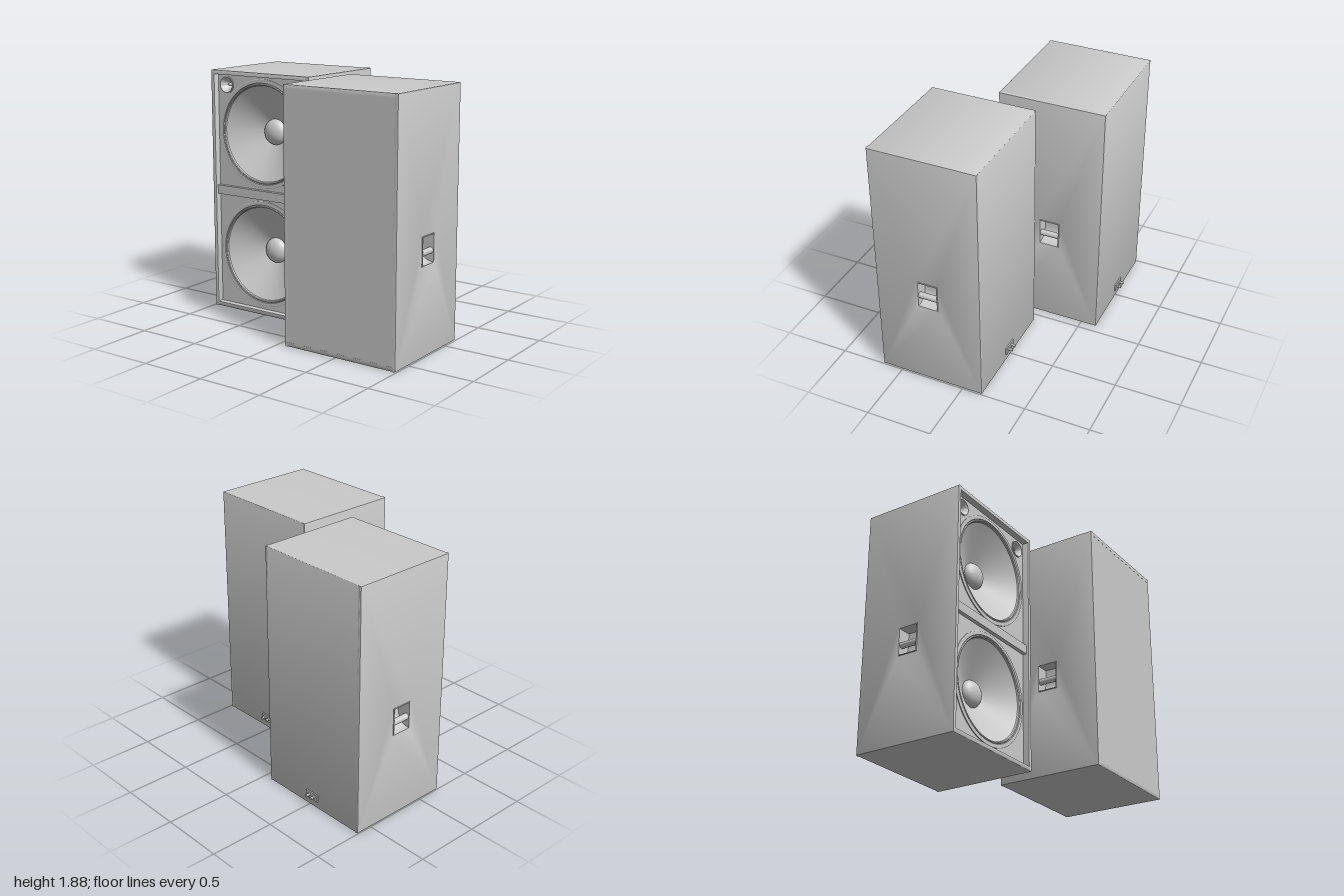
import * as THREE from 'three';
import { toCreasedNormals } from 'three/addons/utils/BufferGeometryUtils.js';

const W = 0.934, H = 1.88, D = 0.816;   // cabinet size
const WALL = 0.032, BEVEL = 0.008;      // panel thickness, edge rounding
const RECESS = 0.05;                    // baffle set-back
const HANDLE = { y: 0.765, w: 0.154, h: 0.21 };

const grey = new THREE.MeshStandardMaterial({ color: 0xcccccc });
const greyOpen = new THREE.MeshStandardMaterial({ color: 0xcccccc, side: THREE.DoubleSide });

function add(parent, name, geometry, x = 0, y = 0, z = 0, material = grey) {
  const mesh = new THREE.Mesh(geometry, material);
  mesh.name = name;
  mesh.position.set(x, y, z);
  parent.add(mesh);
  return mesh;
}

function rect(Type, x0, y0, x1, y1) {
  return new Type([[x0, y0], [x1, y0], [x1, y1], [x0, y1]].map(p => new THREE.Vector2(...p)));
}

function circle(x, y, r) {
  return new THREE.Path().absarc(x, y, r, 0, Math.PI * 2, true);
}

// Profile spun round the z axis, listed from rim to centre
function spin(points, segments = 64) {
  const g = new THREE.LatheGeometry(points.map(p => new THREE.Vector2(...p)), segments);
  return toCreasedNormals(g.rotateX(Math.PI / 2), 0.5);
}

// Shape drawn in (-z, y), extruded along x and centred
function extrudeX(shape, depth, bevel = 0) {
  const g = new THREE.ExtrudeGeometry(shape, {
    depth: depth - 2 * bevel, bevelEnabled: bevel > 0, bevelSize: bevel,
    bevelThickness: bevel, bevelSegments: 2, curveSegments: 12,
  });
  g.translate(0, 0, bevel - depth / 2).rotateY(Math.PI / 2);
  return toCreasedNormals(g, 0.6);
}

// Top, back and bottom in one C-shaped section with rounded outer corners
function shellSection() {
  const f = -D / 2, b = D / 2, r = BEVEL, s = new THREE.Shape();
  s.moveTo(f + r, 0).lineTo(b - r, 0).quadraticCurveTo(b, 0, b, r);
  s.lineTo(b, H - r).quadraticCurveTo(b, H, b - r, H);
  s.lineTo(f + r, H).quadraticCurveTo(f, H, f, H - r);
  s.lineTo(f, H - WALL).lineTo(b - WALL, H - WALL).lineTo(b - WALL, WALL);
  s.lineTo(f, WALL).lineTo(f, r).quadraticCurveTo(f, 0, f + r, 0);
  return s;
}

// Side panel with a handle cut-out
function sidePanel() {
  const e = BEVEL, hw = HANDLE.w / 2 + e, hh = HANDLE.h / 2 + e;
  const s = rect(THREE.Shape, -D / 2 + e, e, D / 2 - e, H - e);
  s.holes.push(rect(THREE.Path, -hw, HANDLE.y - hh, hw, HANDLE.y + hh));
  return extrudeX(s, WALL, e);
}

// Pocket handle facing +x, origin at the panel surface
function createHandle() {
  const g = new THREE.Group();
  g.name = 'handle';
  const h = HANDLE.h / 2, t = 0.004, out = 0.003, deep = -0.1;
  // Liner section: flat ceiling and back, floor swept outwards
  const s = new THREE.Shape();
  s.moveTo(out, h).lineTo(deep - t, h).lineTo(deep - t, -h).lineTo(out, -h);
  s.lineTo(out, -h + t).quadraticCurveTo(deep, -h + t, deep, 0);
  s.lineTo(deep, h - t).lineTo(out, h - t).closePath();
  const liner = new THREE.ExtrudeGeometry(s, { depth: HANDLE.w, bevelEnabled: false });
  add(g, 'handlePocket', toCreasedNormals(liner, 0.6), 0, 0, -HANDLE.w / 2);
  for (const side of [-1, 1]) {
    const cheek = new THREE.BoxGeometry(out - deep, HANDLE.h, t);
    add(g, 'handleCheek', cheek, (out + deep) / 2, 0, side * (HANDLE.w - t) / 2);
  }
  const grip = new THREE.CylinderGeometry(0.023, 0.023, HANDLE.w - t, 24).rotateX(Math.PI / 2);
  add(g, 'handleGrip', grip, -0.025, -0.02, 0);
  return g;
}

function createWoofer() {
  const g = new THREE.Group();
  g.name = 'woofer';
  add(g, 'wooferFrame', spin([[0.417, -0.005], [0.417, 0.006], [0.414, 0.008], [0.389, 0.008],
    [0.385, 0.004], [0.385, -0.004]], 80), 0, 0, 0, greyOpen);
  add(g, 'wooferSurround', spin([[0.386, -0.002], [0.383, 0.007], [0.377, 0.01], [0.371, 0.006],
    [0.367, -0.006]], 80), 0, 0, 0, greyOpen);
  add(g, 'wooferCone', spin([[0.368, -0.005], [0.235, -0.085], [0.09, -0.16]], 80), 0, 0, 0, greyOpen);
  const dome = [];
  for (let i = 0; i <= 10; i++) {
    const a = i / 10 * Math.PI / 2;
    dome.push([0.1 * Math.cos(a), -0.155 + 0.065 * Math.sin(a)]);
  }
  add(g, 'dustCap', spin(dome, 48), 0, 0, 0, greyOpen);
  return g;
}

function createTweeter() {
  const g = new THREE.Group();
  g.name = 'tweeter';
  add(g, 'tweeterHorn', spin([[0.067, -0.003], [0.067, 0.005], [0.06, 0.007], [0.05, -0.004],
    [0.036, -0.026], [0.024, -0.05], [0.018, -0.075], [0, -0.075]], 40), 0, 0, 0, greyOpen);
  add(g, 'tweeterPlug', spin([[0.011, -0.075], [0.011, -0.035], [0.006, -0.02], [0, -0.014]], 24));
  return g;
}

// Connector plate with two binding posts, facing -z
function createTerminals() {
  const g = new THREE.Group();
  g.name = 'terminals';
  add(g, 'terminalPlate', new THREE.BoxGeometry(0.12, 0.056, 0.012), 0, 0, -0.004);
  for (const side of [-1, 1]) {
    const x = side * 0.024;
    const nut = new THREE.CylinderGeometry(0.014, 0.014, 0.012, 16).rotateX(Math.PI / 2);
    const post = new THREE.CylinderGeometry(0.012, 0.009, 0.026, 16).rotateX(-Math.PI / 2);
    add(g, 'terminalNut', nut, x, 0.003, -0.014);
    add(g, 'terminalPost', post, x, 0.003, -0.028);
  }
  return g;
}

function createCabinet(name, withGrille) {
  const g = new THREE.Group();
  g.name = name;
  const front = D / 2, iw = W - 2 * WALL, baffleZ = front - RECESS;

  // Shell and sides
  add(g, 'cabinetShell', extrudeX(shellSection(), W - 2 * BEVEL));
  for (const side of [-1, 1]) {
    add(g, 'sidePanel', sidePanel(), side * (W - WALL) / 2);
    const handle = createHandle();
    handle.position.set(side * W / 2, HANDLE.y, 0);
    if (side < 0) handle.rotation.y = Math.PI;
    g.add(handle);
  }

  // Baffle with openings for the drivers
  const wooferY = [0.475, 1.412], tweeterX = [-0.352, 0.352], tweeterY = 1.767;
  const face = rect(THREE.Shape, -iw / 2 - 0.01, WALL - 0.01, iw / 2 + 0.01, H - WALL + 0.01);
  for (const y of wooferY) face.holes.push(circle(0, y, 0.4));
  for (const x of tweeterX) face.holes.push(circle(x, tweeterY, 0.06));
  const baffle = new THREE.ExtrudeGeometry(face, { depth: 0.02, bevelEnabled: false, curveSegments: 40 });
  add(g, 'baffle', baffle, 0, 0, baffleZ - 0.02);
  add(g, 'crossBar', new THREE.BoxGeometry(iw + 0.01, 0.07, RECESS - 0.02), 0, 0.944, baffleZ + (RECESS - 0.02) / 2);

  // Drivers
  for (const y of wooferY) {
    const woofer = createWoofer();
    woofer.position.set(0, y, baffleZ);
    g.add(woofer);
  }
  for (const x of tweeterX) {
    const tweeter = createTweeter();
    tweeter.position.set(x, tweeterY, baffleZ);
    g.add(tweeter);
  }

  // Flush front cover
  if (withGrille) {
    add(g, 'grille', new THREE.BoxGeometry(iw + 0.012, H - 2 * WALL, 0.018), 0, H / 2, front - 0.01);
  }

  const terminals = createTerminals();
  terminals.position.set(0, 0.086, -D / 2);
  g.add(terminals);
  return g;
}

export function createModel() {
  const model = new THREE.Group();
  model.name = 'speakerPair';
  const open = createCabinet('openSpeaker', false);
  open.position.set(-0.53, 0, -0.216);
  const covered = createCabinet('coveredSpeaker', true);
  covered.position.set(0.527, 0, 0.253);
  model.add(open, covered);
  return model;
}
